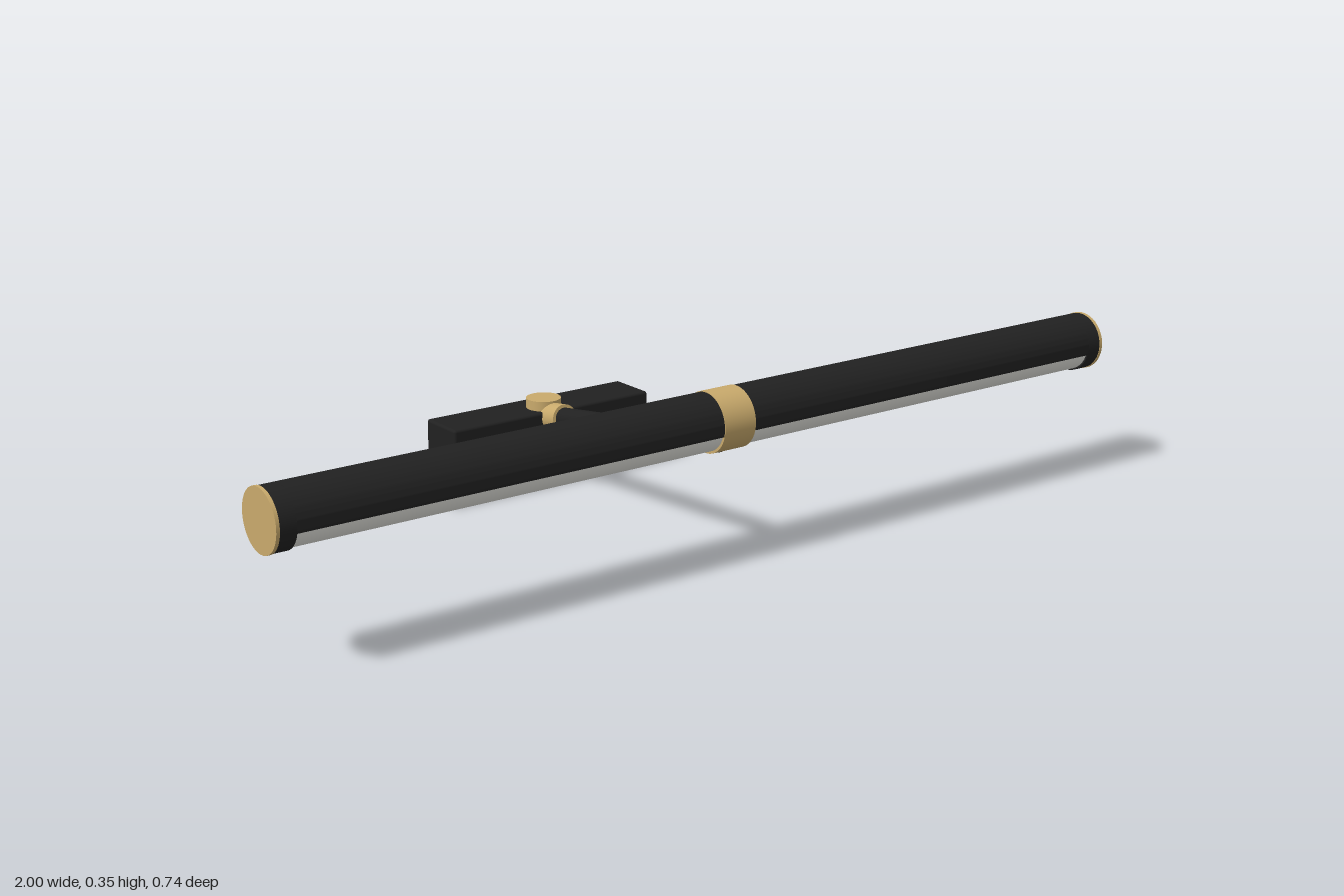
import * as THREE from 'three';
import { toCreasedNormals } from 'three/addons/utils/BufferGeometryUtils.js';
import { RoundedBoxGeometry } from 'three/addons/geometries/RoundedBoxGeometry.js';

export function createModel() {
  const group = new THREE.Group();
  const material = (name, color) => {
    const m = new THREE.MeshStandardMaterial({ color });
    m.name = name;
    return m;
  };
  const black = material('matte black', 0x212121);
  const brass = material('brushed brass', 0xc9aa6c);
  const white = material('diffuser white', 0xe6e6e0);

  const add = (name, geometry, mat, x, y, z) => {
    const mesh = new THREE.Mesh(geometry, mat);
    mesh.name = name;
    mesh.position.set(x, y, z);
    group.add(mesh);
    return mesh;
  };
  const rod = (radius, length) =>
    new THREE.CylinderGeometry(radius, radius, length, 48).rotateZ(Math.PI / 2);

  const R = 0.06, LY = 0.29, LZ = 0.308;

  // Lamp tube: a long shell, open along its lower front
  const a0 = THREE.MathUtils.degToRad(-15), a1 = THREE.MathUtils.degToRad(232);
  const arc = new THREE.Shape();
  arc.absarc(0, 0, R, a0, a1, false);
  arc.absarc(0, 0, R - 0.003, a1, a0, true);
  arc.closePath();
  const shell = new THREE.ExtrudeGeometry(arc, { depth: 1.92, bevelEnabled: false, curveSegments: 40 });
  shell.translate(0, 0, -0.96).rotateY(-Math.PI / 2);
  add('lampShell', toCreasedNormals(shell, 0.6), black, 0, LY, LZ);
  add('diffuser', rod(R - 0.0035, 1.92), white, 0, LY, LZ);

  // Solid tube ends and brass caps
  for (const s of [-1, 1]) {
    add('tubeEnd', rod(R, 0.035), black, s * 0.9765, LY, LZ);
    add('endCap', rod(R + 0.001, 0.007), brass, s * 0.9965, LY, LZ);
  }
  add('centreRing', rod(R + 0.0015, 0.075), brass, 0, LY, LZ);

  // Sloping arm, laid between two points
  const segment = (name, radius, from, to, mat) => {
    const dir = to.clone().sub(from);
    const mid = from.clone().add(to).multiplyScalar(0.5);
    const mesh = add(name, new THREE.CylinderGeometry(radius, radius, dir.length(), 32), mat, mid.x, mid.y, mid.z);
    mesh.quaternion.setFromUnitVectors(new THREE.Vector3(0, 1, 0), dir.normalize());
  };
  const onArm = z => new THREE.Vector3(0, 0.1975 + 0.158 * z, z);
  segment('arm', 0.023, onArm(-0.25), onArm(0.305), black);
  segment('armCollar', 0.03, onArm(-0.28), onArm(-0.219), brass);

  // Pivot disc on the wall box
  add('pivotDisc', new THREE.CylinderGeometry(0.0375, 0.0375, 0.04, 48), brass, 0, 0.171, -0.298);
  add('wallBox', new RoundedBoxGeometry(0.5, 0.17, 0.109, 3, 0.006), black, 0, 0.085, -0.3145);

  return group;
}
